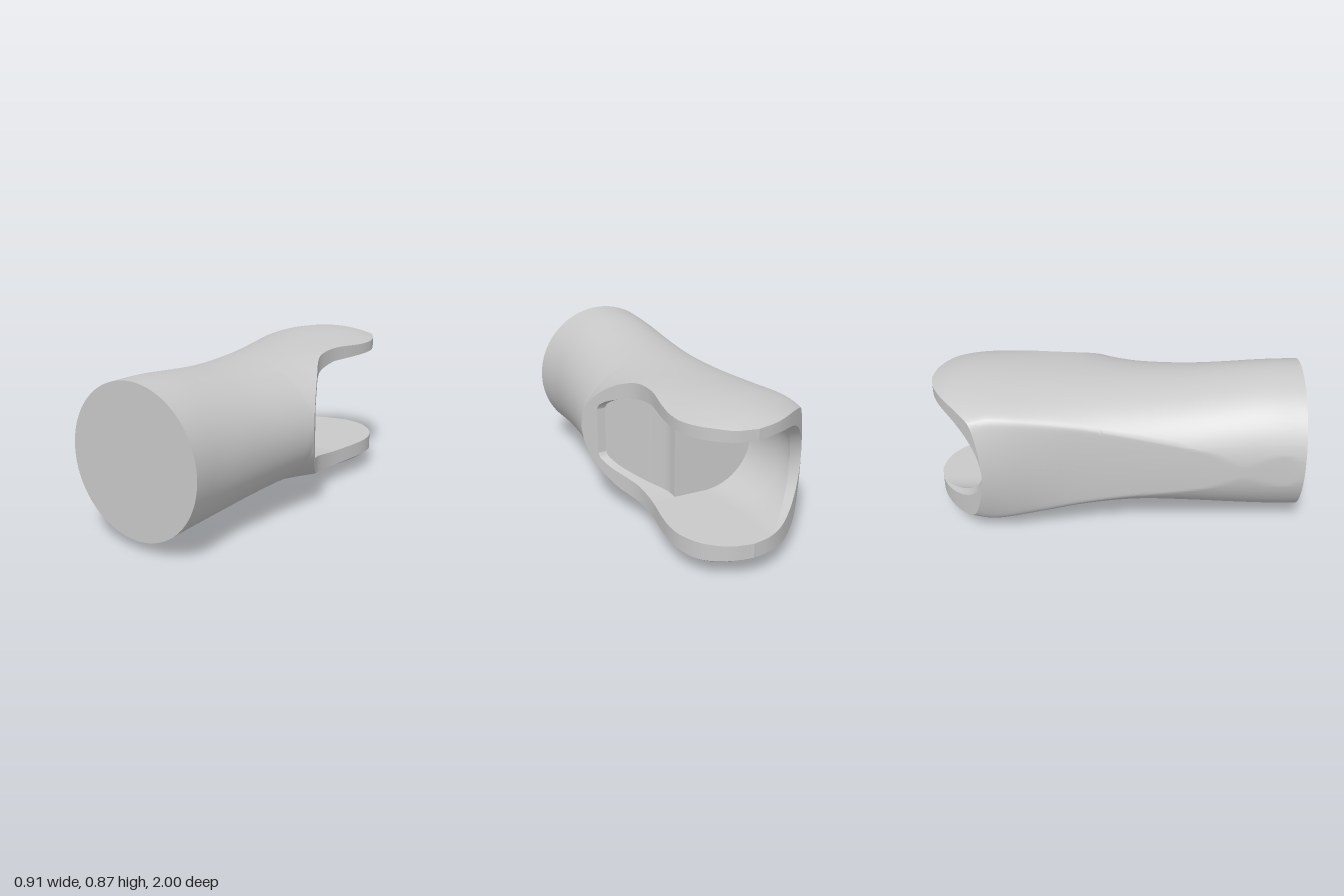
import * as THREE from 'three';
import { mergeGeometries, toCreasedNormals } from 'three/addons/utils/BufferGeometryUtils.js';

const grey = new THREE.MeshStandardMaterial({ color: 0xc8c8c8, side: THREE.DoubleSide });
grey.name = 'grey';

const YC = 0.468, CX = -0.01;               // section centre
const Z_OPEN = 0.12, Z_SLOT = 0.02, Z_STEP = -0.39, Z_NOTCH = -0.7;
const SLOT_H = 0.275, SLOT_R = 0.28;        // half height of the slot, radius of its curved wall
const clamp = THREE.MathUtils.clamp;

// Smooth curve through [z, value] points listed from front to back
function curve(pts) {
  const n = pts.length;
  const slope = pts.map((p, i) => {
    const a = pts[Math.max(i - 1, 0)], b = pts[Math.min(i + 1, n - 1)];
    return (b[1] - a[1]) / (b[0] - a[0]);
  });
  return z => {
    z = clamp(z, pts[n - 1][0], pts[0][0]);
    let i = 0;
    while (i < n - 2 && z < pts[i + 1][0]) i++;
    const [z0, v0] = pts[i], [z1, v1] = pts[i + 1], d = z1 - z0, t = (z - z0) / d;
    const t2 = t * t, t3 = t2 * t;
    return v0 * (2 * t3 - 3 * t2 + 1) + v1 * (3 * t2 - 2 * t3)
      + d * slope[i] * (t3 - 2 * t2 + t) + d * slope[i + 1] * (t3 - t2);
  };
}

// Outer body: upper and lower profile, widths
const topY = curve([[1, .875], [.8, .87], [.6, .85], [.4, .832], [.2, .826], [0, .83], [-.2, .838],
  [-.4, .85], [-.6, .86], [-.75, .857], [-.9, .836], [-1, .8]]);
const bottomY = curve([[1, .06], [.8, .063], [.6, .075], [.4, .092], [.15, .11], [0, .104], [-.2, .08],
  [-.4, .04], [-.6, .008], [-.7, .001], [-.85, .028], [-1, .115]]);
const frontR = [[1, .4], [.97, .396], [.8, .385], [.6, .395], [.4, .415], [.2, .447], [.12, .464], [.07, .482]];
const widthTopR = curve([...frontR, [-.02, .525], [-.13, .605], [-.26, .7], [-.4, .68], [-.6, .59], [-1, .56]]);
const widthLowR = curve([...frontR, [-.02, .535], [-.13, .6], [-.26, .585], [-.4, .5], [-.6, .47], [-1, .46]]);
const widthTopL = curve([[.75, .405], [.5, .41], [.2, .425], [-.1, .465], [-.4, .54], [-.6, .6], [-.7, .6], [-1, .48]]);
const widthLowL = curve([[.75, .405], [.5, .41], [.2, .425], [-.1, .455], [-.4, .505], [-.6, .55], [-.7, .55], [-1, .46]]);
const sideL = curve([[1, -.415], [.9, -.405], [.66, -.415], [.5, -.405], [.2, -.39], [0, -.385],
  [-.2, -.388], [-.4, -.41], [-.55, -.435], [-.7, -.455]]);
const bulgeL = curve([[.4, .02], [-.2, .02], [-.45, .035], [-.7, .055]]);
// Plan outline of the side opening and of the fork tips
const cutR = curve([[.12, .454], [-.05, .357], [-.15, .298], [-.22, .268], [-.3, .256], [-.4, .257],
  [-.55, .28], [-.68, .29], [-.78, .275], [-.88, .225], [-.95, .15], [-.985, .08], [-1, -.01]]);
const cutL = curve([[-.7, -.455], [-.77, -.385], [-.85, -.3], [-.93, -.2], [-.98, -.1], [-1, -.01]]);
// Slot: half height, sloped inner face, curved inner wall
const slotH = curve([[.02, .13], [.01, .155], [-.05, .195], [-.12, .222], [-.2, .245], [-.3, .264], [-.39, .275]]);
const slotFace = curve([[.02, .35], [-.1, .272], [-.2, .208], [-.28, .157], [-.33, .133], [-.39, .126]]);
const slotWall = curve([[-.39, -.33], [-.55, -.362], [-.7, -.385], [-1, -.385]]);

const leftX = z => z >= Z_NOTCH ? sideL(z) : cutL(z);

// Point of the upper (s = 1) or lower (s = -1) half section at angle a
function section(z, a, s) {
  const dy = (s > 0 ? topY(z) - YC : YC - bottomY(z)) * Math.sin(a);
  if (a <= Math.PI / 2) return { x: CX + (s > 0 ? widthTopR : widthLowR)(z) * Math.cos(a), dy, over: 1 };
  // left flank: ellipse blended into a flatter side
  const wl = (s > 0 ? widthTopL : widthLowL)(z);
  const ell = CX + Math.max(wl, CX - sideL(z)) * Math.cos(a);
  const flat = sideL(z) + bulgeL(z) * (dy / 0.3) ** 2;
  const soft = 0.018 * clamp((wl - 0.41) / 0.12, 0, 1);
  return { x: (ell + flat + Math.hypot(ell - flat, soft)) / 2, dy, over: ell - flat };
}

function solve(f, lo, hi) {                 // f falls from positive to negative
  if (f(hi) >= 0) return hi;
  for (let i = 0; i < 40; i++) {
    const m = (lo + hi) / 2;
    if (f(m) > 0) lo = m; else hi = m;
  }
  return (lo + hi) / 2;
}

// Angles where the half section starts, meets the flat side and ends
function limits(z, s) {
  const half = Math.PI / 2;
  const a0 = z >= Z_OPEN ? 0 : solve(a => section(z, a, s).x - cutR(z), 0, half);
  const a2 = z >= Z_NOTCH ? Math.PI : solve(a => section(z, a, s).x - leftX(z), half, Math.PI);
  const a1 = Math.min(solve(a => section(z, a, s).over, half, 2.75), a2);
  return [a0, a1, a2];
}

const N1 = 36, N2 = 18;                     // steps before and after the flat side begins
function outer(z, j, s) {
  const [a0, a1, a2] = limits(z, s);
  const a = j <= N1 ? a0 + (a1 - a0) * j / N1 : a1 + (a2 - a1) * (j - N1) / N2;
  const p = section(z, a, s);
  return [p.x, YC + s * p.dy, z];
}

// Half height of the hollow at x, z
const notchPos = z => clamp((z + 1) / 0.3, 0, 1);
function hollow(x, z) {
  if (z > Z_STEP) return slotH(z);
  let k = clamp((slotWall(z) + SLOT_R - x) / SLOT_R, 0, 1);
  if (z <= Z_NOTCH) k = Math.min(k, notchPos(z));
  return SLOT_H * Math.sqrt(1 - k * k);
}

const span = (a, b, n) => Array.from({ length: n + 1 }, (_, i) => a + (b - a) * i / n);
const eased = (a, b, n) => span(0, Math.PI, n).map(t => a + (b - a) * (1 - Math.cos(t)) / 2);

// Surface spanned by rows of points
function grid(rows, cols, point, flip = false) {
  const pos = [], idx = [];
  rows.forEach((r, i) => {
    for (let j = 0; j <= cols; j++) {
      pos.push(...point(r, j, j / cols));
      if (!i || !j) continue;
      const d = i * (cols + 1) + j, c = d - 1, b = d - cols - 1, a = b - 1;
      if (flip) idx.push(a, b, c, b, d, c); else idx.push(a, c, b, b, c, d);
    }
  });
  const g = new THREE.BufferGeometry();
  g.setAttribute('position', new THREE.Float32BufferAttribute(pos, 3));
  g.setIndex(idx);
  return g;
}

export function createModel() {
  const group = new THREE.Group();
  const add = (name, parts, crease = 0.6) => {
    const mesh = new THREE.Mesh(toCreasedNormals(mergeGeometries(parts), crease), grey);
    mesh.name = name;
    group.add(mesh);
  };
  const both = make => [1, -1].flatMap(make);

  const zBody = span(1, Z_OPEN, 22);
  const zRim = span(Z_OPEN, Z_SLOT, 8);
  const zFace = span(Z_SLOT, Z_STEP, 41);
  const zWall = span(Z_STEP, Z_NOTCH, 12);
  const zTip = eased(Z_NOTCH, -1, 28);
  const zAll = [...new Set([...zBody, ...zRim, ...zFace, ...zWall, ...zTip])];

  // Outer skin from the round end to the two fork tips
  add('outerBody', both(s => grid(zAll, N1 + N2, (z, j) => outer(z, j, s), s < 0)), 1.1);

  // Flat disc closing the front
  add('frontCap', both(s => grid([1, 0], N1 + N2, (t, j) => {
    const p = outer(1, j, s);
    return [CX + (p[0] - CX) * t, YC + (p[1] - YC) * t, 1];
  }, s > 0)));

  // Rim around the side opening
  const rimR = (h, s) => (z, j, t) => {
    const edge = outer(z, 0, s), x = cutR(z), y = YC + s * h(x, z);
    return [x, y + (edge[1] - y) * t, z];
  };
  add('openingRim', both(s => [
    grid(zRim, 2, rimR(() => 0, s), s < 0),
    grid([...zFace, ...zWall, ...zTip], 2, rimR(hollow, s), s < 0),
  ]));

  // Rim of the rounded notch at the back
  add('notchRim', both(s => grid(zTip, 2, (z, j, t) => {
    const edge = outer(z, N1 + N2, s), x = leftX(z), y = YC + s * hollow(x, z);
    return [x, y + (edge[1] - y) * t, z];
  }, s > 0)));

  // Ceiling, floor and curved wall of the slot
  const lining = (zs, end) => both(s => grid(zs, 28, (z, j, t) => {
    const x0 = cutR(z), x = x0 + (end(z) - x0) * Math.sin(t * Math.PI / 2);
    return [x, YC + s * hollow(x, z), z];
  }, s > 0));
  const notchEdge = z => Math.max(cutL(z), slotWall(z) + SLOT_R * (1 - notchPos(z)));
  add('slotLining', [...lining(zFace, slotFace), ...lining(zWall, slotWall), ...lining(zTip, notchEdge)]);

  // Rounded notch cut through the curved wall
  add('notchLining', both(s => grid(zTip, 3, (z, j, t) => {
    const x0 = notchEdge(z);
    return [x0 + (cutL(z) - x0) * t, YC + s * hollow(x0, z), z];
  }, s > 0)));

  // Stop block inside the slot: short front wall, sloped face, back step
  const zStepIn = Z_STEP - 1e-6;
  add('stopBlock', [
    grid([cutR(Z_SLOT), slotFace(Z_SLOT)], 1, (x, j) => [x, YC + (2 * j - 1) * slotH(Z_SLOT), Z_SLOT]),
    grid(zFace, 1, (z, j) => [slotFace(z), YC + (2 * j - 1) * slotH(z), z]),
    grid(span(0, Math.PI / 2, 20).map(t => slotFace(Z_STEP) + (slotWall(Z_STEP) - slotFace(Z_STEP)) * Math.sin(t)), 1,
      (x, j) => [x, YC + (2 * j - 1) * hollow(x, zStepIn), Z_STEP]),
  ]);
  return group;
}
